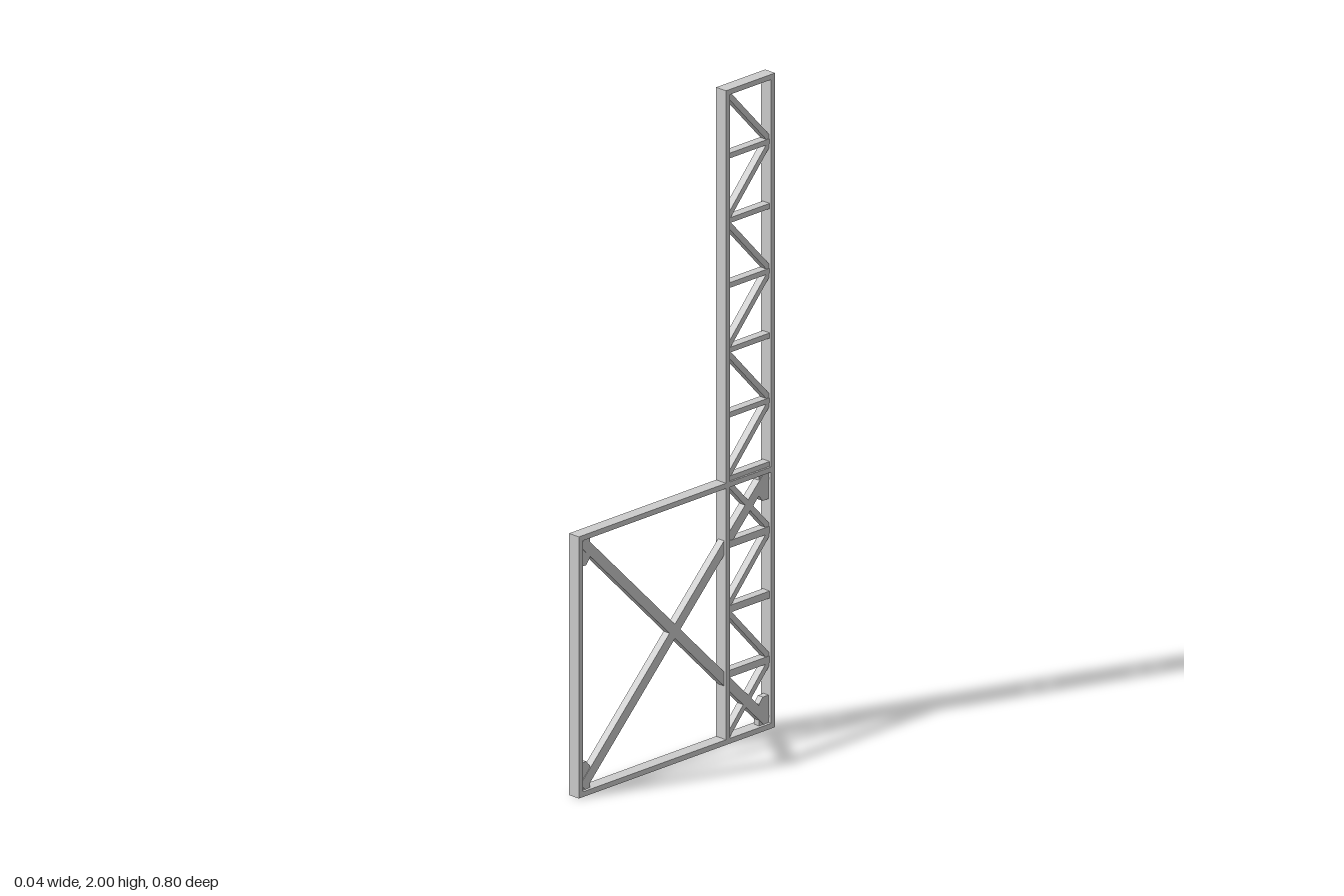
import * as THREE from 'three';

const material = new THREE.MeshStandardMaterial({ color: 0xcccccc, flatShading: true });

export function createModel() {
  const model = new THREE.Group();

  // Straight bar between two (z, y) points: t = thickness seen from the side, w = width along x
  function bar(parent, name, [z1, y1], [z2, y2], t, w) {
    const dz = z2 - z1, dy = y2 - y1;
    const mesh = new THREE.Mesh(new THREE.BoxGeometry(w, t, Math.hypot(dz, dy)), material);
    mesh.position.set(0, (y1 + y2) / 2, (z1 + z2) / 2);
    mesh.rotation.x = -Math.atan2(dy, dz);
    mesh.name = name;
    parent.add(mesh);
  }

  // Upright rectangular frame with butted corners
  function frame(parent, name, z1, z2, height, t) {
    const h = t / 2;
    for (const z of [z1 + h, z2 - h]) bar(parent, name + 'Post', [z, 0], [z, height], t, 0.04);
    for (const y of [h, height - h]) bar(parent, name + 'Rail', [z1 + t, y], [z2 - t, y], t, 0.04);
  }

  // Square base frame with crossed braces
  const base = new THREE.Group();
  base.name = 'baseFrame';
  frame(base, 'base', -0.4, 0.4, 0.8, 0.016);
  for (const s of [-1, 1]) bar(base, 'crossBrace', [-0.375, 0.4 - s * 0.375], [0.375, 0.4 + s * 0.375], 0.031, 0.024);

  // Clipped gusset plates in the four corners
  for (const sz of [-1, 1]) for (const sy of [-1, 1]) {
    const outline = [[0.386, 0.386], [0.386, 0.3], [0.36, 0.3], [0.345, 0.318], [0.345, 0.386]];
    const shape = new THREE.Shape(outline.map(([z, y]) => new THREE.Vector2(-z * sz, y * sy)));
    const geometry = new THREE.ExtrudeGeometry(shape, { depth: 0.02, bevelEnabled: false });
    geometry.translate(0, 0, -0.01).rotateY(Math.PI / 2).translate(0, 0.4, 0);
    const plate = new THREE.Mesh(geometry, material);
    plate.name = 'gussetPlate';
    base.add(plate);
  }

  // Tall lattice mast at the back
  const mast = new THREE.Group();
  mast.name = 'latticeMast';
  frame(mast, 'mast', -0.4, -0.2, 2, 0.016);
  const levels = 10, bottom = 0.012, step = 0.198;
  for (let i = 0; i < levels; i++) {
    const y = bottom + i * step;
    if (i > 0) bar(mast, 'rung', [-0.385, y], [-0.215, y], i < 5 ? 0.022 : 0.016, 0.028);
    // Zigzag diagonals alternate direction
    const lean = i % 2 === 0 ? 1 : -1;
    bar(mast, 'diagonal', [-0.3 + lean * 0.083, y + 0.009], [-0.3 - lean * 0.083, y + step - 0.009], 0.017, 0.024);
  }

  model.add(base, mast);
  return model;
}
